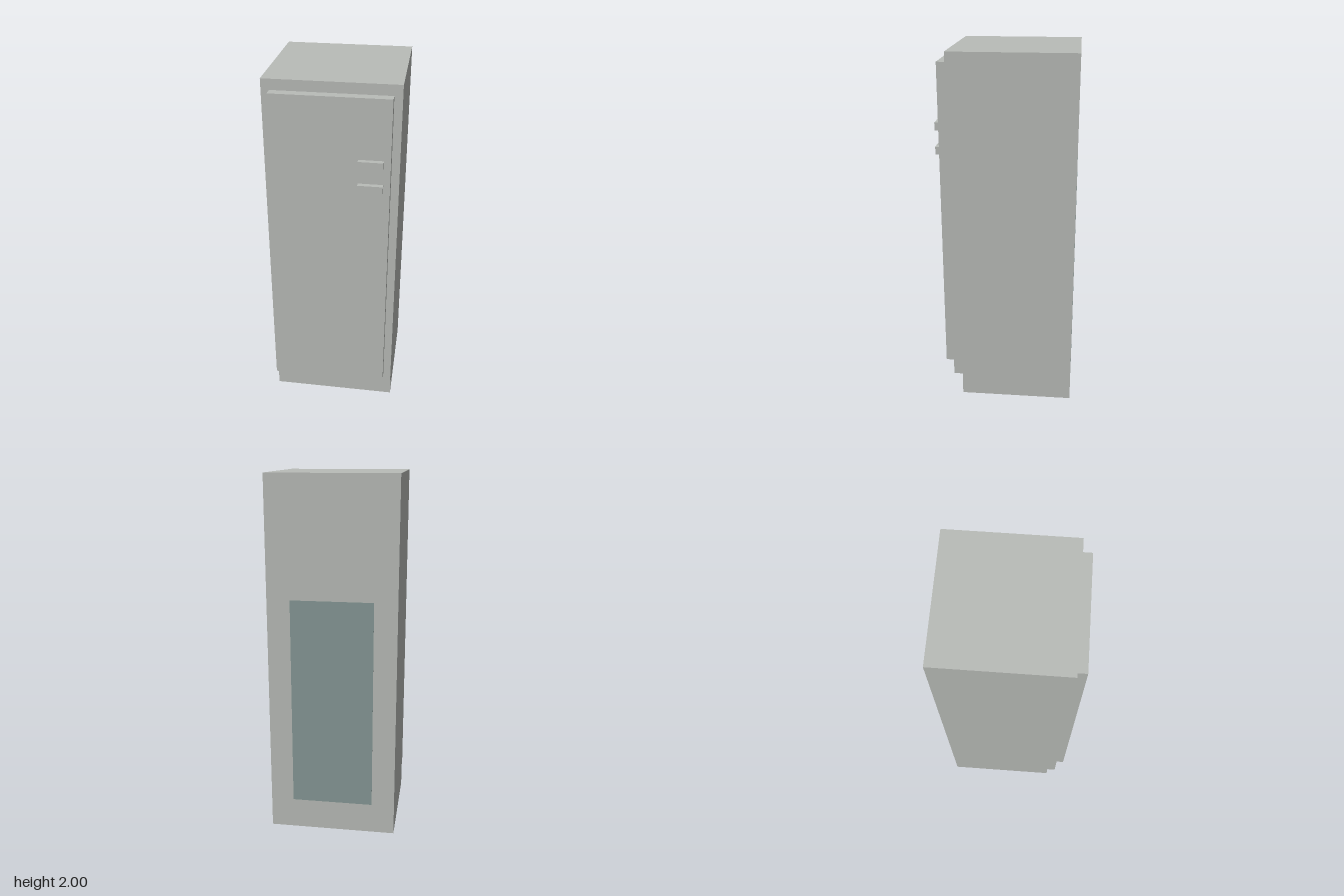
import * as THREE from 'three';

const bodyGrey = new THREE.MeshStandardMaterial({ color: 0xb9bcb8 });
bodyGrey.name = 'bodyGrey';
const panelTeal = new THREE.MeshStandardMaterial({ color: 0x869896 });
panelTeal.name = 'panelTeal';

// Box given by its min and max corners
function box(name, material, [x0, y0, z0], [x1, y1, z1]) {
  const mesh = new THREE.Mesh(new THREE.BoxGeometry(x1 - x0, y1 - y0, z1 - z0), material);
  mesh.position.set((x0 + x1) / 2, (y0 + y1) / 2, (z0 + z1) / 2);
  mesh.name = name;
  return mesh;
}

export function createModel() {
  const model = new THREE.Group();
  model.name = 'refrigerator';

  const halfWidth = 0.353, back = -0.381, front = 0.302;
  const kickFront = 0.252, kickHeight = 0.13;

  // Cabinet: side profile with recessed toe kick, extruded across the width
  const profile = new THREE.Shape([
    [back, 0], [kickFront, 0], [kickFront, kickHeight],
    [front, kickHeight], [front, 2], [back, 2],
  ].map(([z, y]) => new THREE.Vector2(-z, y)));
  const cabinetGeometry = new THREE.ExtrudeGeometry(profile, { depth: halfWidth * 2, bevelEnabled: false });
  cabinetGeometry.translate(0, 0, -halfWidth).rotateY(Math.PI / 2);
  const cabinet = new THREE.Mesh(cabinetGeometry, bodyGrey);
  cabinet.name = 'cabinet';
  model.add(cabinet);

  // Door slab
  model.add(box('door', bodyGrey, [-0.31, 0.195, front], [0.31, 1.943, 0.354]));

  // Pair of bar handles
  [['upperHandle', 1.578], ['lowerHandle', 1.446]].forEach(([name, y]) => {
    model.add(box(name, bodyGrey, [0.144, y, 0.354], [0.275, y + 0.042, 0.381]));
  });

  // Thin panel on the back
  model.add(box('backPanel', panelTeal, [-0.226, 0.17, back - 0.001], [0.226, 1.34, back + 0.002]));

  return model;
}
